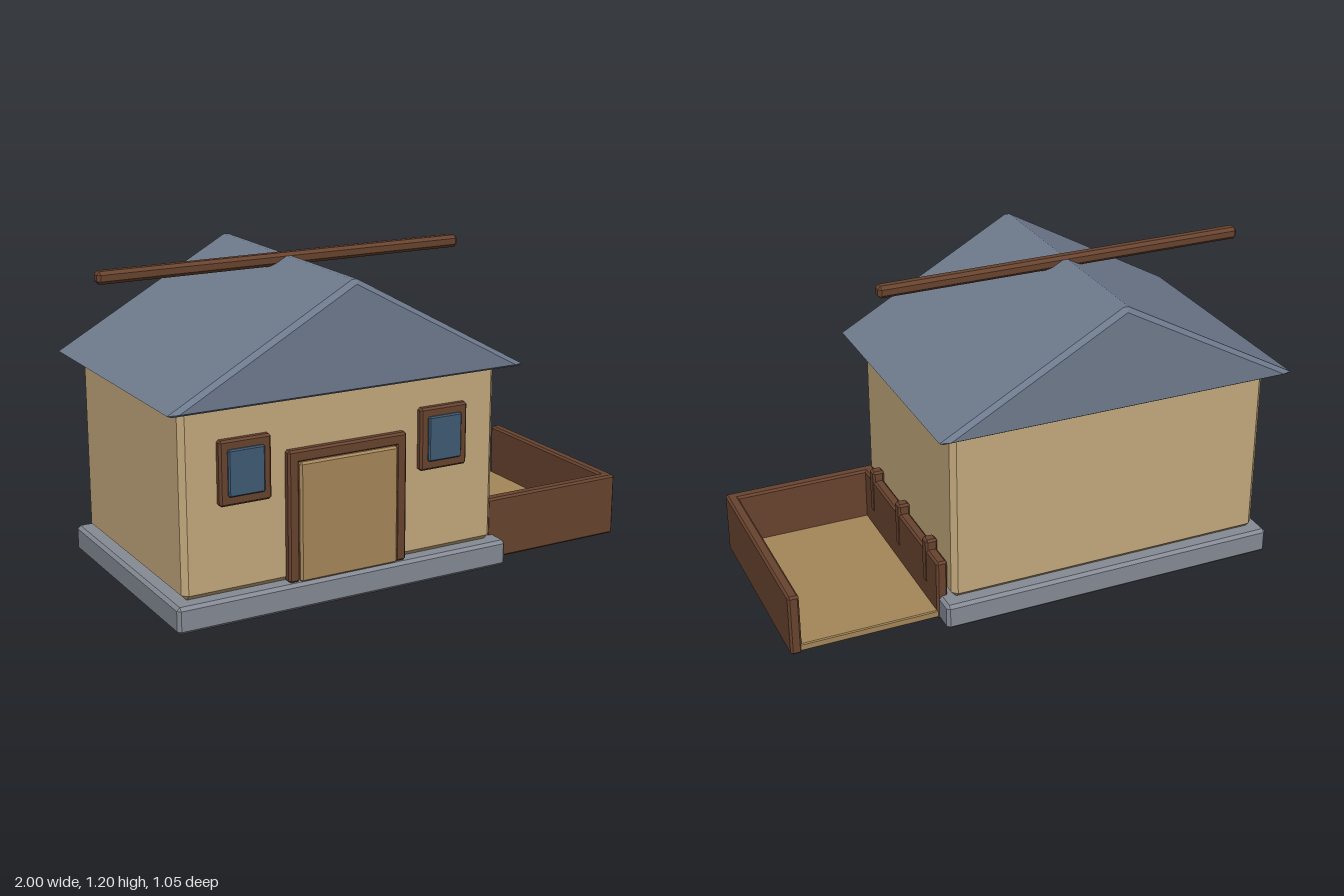
import * as THREE from 'three';
import { ConvexGeometry } from 'three/addons/geometries/ConvexGeometry.js';

const mat = (color) => new THREE.MeshStandardMaterial({ color, flatShading: true });

export function createModel() {
  const model = new THREE.Group();
  const stone = mat(0x858a94), plaster = mat(0xc4a97d), wood = mat(0x68432f);
  const slate = mat(0x6e7a8d), plank = mat(0xa58759), glass = mat(0x3f5a72);

  const add = (name, geometry, material) => {
    const mesh = new THREE.Mesh(geometry, material);
    mesh.name = name;
    model.add(mesh);
  };

  // Box between two corners with all edges chamfered by c
  const box = (name, material, [x0, x1], [y0, y1], [z0, z1], c = 0.008) => {
    const centre = [(x0 + x1) / 2, (y0 + y1) / 2, (z0 + z1) / 2];
    const half = [(x1 - x0) / 2, (y1 - y0) / 2, (z1 - z0) / 2];
    const points = [];
    for (const sx of [-1, 1]) for (const sy of [-1, 1]) for (const sz of [-1, 1])
      for (let axis = 0; axis < 3; axis++) {
        const p = [sx, sy, sz].map((s, i) => centre[i] + s * (half[i] - (i === axis ? 0 : c)));
        points.push(new THREE.Vector3(...p));
      }
    add(name, new ConvexGeometry(points), material);
  };

  // House body
  const cx = -0.255;
  box('foundation', stone, [-0.935, 0.425], [0, 0.1], [-0.483, 0.483], 0.012);
  box('walls', plaster, [-0.895, 0.385], [0.1, 0.79], [-0.442, 0.442], 0.02);

  // Gable roof with chamfered edges, ridge running front to back
  const roof = [];
  for (const sx of [-1, 1]) for (const sz of [-1, 1]) {
    const put = (x, y, z) => roof.push(new THREE.Vector3(cx + sx * x, y, sz * z));
    put(0.71, 0.797, 0.508);
    put(0.695, 0.79, 0.508);
    put(0.01, 1.185, 0.508);
    put(0.672, 0.8, 0.524);
    put(0, 1.17, 0.524);
  }
  add('roof', new ConvexGeometry(roof), slate);
  box('ridgeBeam', wood, [-1, 0.485], [1.15, 1.197], [-0.024, 0.024], 0.012);

  // Door and its frame
  box('door', plank, [-0.455, -0.055], [0.1, 0.548], [0.43, 0.48]);
  for (const x of [-0.497, -0.058])
    box('doorJamb', wood, [x, x + 0.045], [0.1, 0.585], [0.43, 0.47]);
  box('doorLintel', wood, [-0.497, -0.013], [0.545, 0.592], [0.43, 0.47]);

  // Windows either side of the door
  for (const x of [-0.66, 0.147]) {
    box('windowFrame', wood, [x - 0.1, x + 0.1], [0.43, 0.668], [0.42, 0.467]);
    box('windowPane', glass, [x - 0.07, x + 0.07], [0.465, 0.635], [0.44, 0.478], 0.005);
  }

  // Side pen, open at the back
  box('penFloor', plank, [0.4, 0.97], [0.008, 0.038], [-0.4, 0.38], 0.004);
  box('penFrontWall', wood, [0.39, 1], [0, 0.245], [0.36, 0.405]);
  box('penOuterWall', wood, [0.957, 1], [0, 0.245], [-0.403, 0.405]);
  box('penInnerWall', wood, [0.39, 0.433], [0, 0.245], [-0.403, 0.405]);
  for (const z of [-0.282, 0, 0.282])
    box('penPost', wood, [0.388, 0.435], [0.1, 0.285], [z - 0.023, z + 0.023]);

  return model;
}
